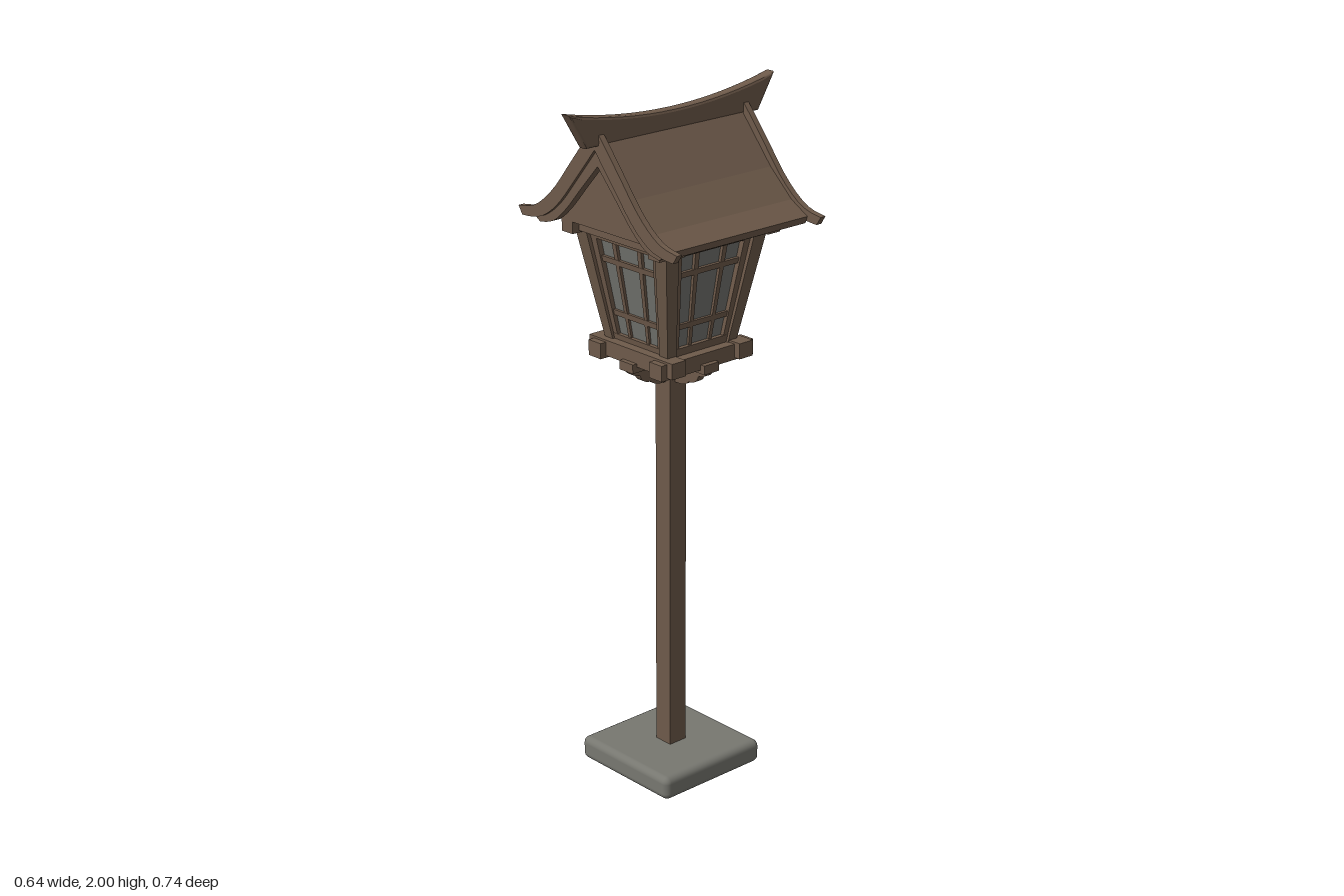
import * as THREE from 'three';
import { RoundedBoxGeometry } from 'three/addons/geometries/RoundedBoxGeometry.js';

export function createModel() {
  const root = new THREE.Group();
  root.name = 'postLantern';
  const wood = new THREE.MeshStandardMaterial({ color: 0x6e5a4a });
  wood.name = 'brown wood';
  const stone = new THREE.MeshStandardMaterial({ color: 0x777770 });
  stone.name = 'grey stone';
  const paper = new THREE.MeshStandardMaterial({ color: 0x72736e });
  paper.name = 'grey pane';

  const add = (name, geo, mat = wood, parent = root) => {
    const m = new THREE.Mesh(geo, mat);
    m.name = name;
    parent.add(m);
    return m;
  };
  const box = (w, h, d, x, y, z) => new THREE.BoxGeometry(w, h, d).translate(x, y, z);
  const shapeOf = (pts) => new THREE.Shape(pts.map((p) => new THREE.Vector2(p[0], p[1])));
  const slab = (shape, z0, z1) =>
    new THREE.ExtrudeGeometry(shape, { depth: z1 - z0, bevelEnabled: false }).translate(0, 0, z0);
  // smooth right half of a roof line, sampled from a few points
  const curve = (pts) => new THREE.SplineCurve(pts.map((p) => new THREE.Vector2(p[0], p[1])))
    .getPoints(16).map((p) => [p.x, p.y]);
  // symmetric band between an upper and a lower right-half line, both from the apex out
  const band = (upper, lower) => {
    const flip = (a) => a.map(([x, y]) => [-x, y]);
    return shapeOf([
      ...flip(upper).reverse(), ...upper.slice(1),
      ...lower.slice().reverse(), ...flip(lower).slice(1),
    ]);
  };

  // base and post
  add('baseStone', new RoundedBoxGeometry(0.37, 0.07, 0.37, 4, 0.02).translate(0, 0.035, 0), stone);
  add('post', box(0.06, 1.22, 0.06, 0, 0.66, 0));

  // lantern body narrows towards the bottom
  const Y0 = 1.305, Y1 = 1.625;
  const taper = (geo) => {
    const p = geo.attributes.position;
    for (let i = 0; i < p.count; i++) {
      const s = 0.69 + (0.31 * (p.getY(i) - Y0)) / (Y1 - Y0);
      p.setX(i, p.getX(i) * s);
      p.setZ(i, p.getZ(i) * s);
    }
    geo.computeVertexNormals();
    return geo;
  };
  const midY = (Y0 + Y1) / 2, H = Y1 - Y0;

  // corbel under the floor, stepped in scallops
  const corbel = new THREE.Shape();
  corbel.moveTo(0.02, 1.19);
  corbel.lineTo(0.05, 1.19);
  corbel.quadraticCurveTo(0.075, 1.192, 0.085, 1.205);
  corbel.lineTo(0.095, 1.205);
  corbel.quadraticCurveTo(0.12, 1.21, 0.125, 1.232);
  corbel.lineTo(0.135, 1.232);
  corbel.quadraticCurveTo(0.155, 1.235, 0.16, 1.255);
  corbel.lineTo(0.02, 1.255);

  for (let k = 0; k < 4; k++) {
    const side = new THREE.Group();
    side.name = 'lanternSide' + (k + 1);
    side.rotation.y = (k * Math.PI) / 2;
    root.add(side);
    const part = (name, geo, mat) => add(name, geo, mat, side);
    part('cornerPost', taper(box(0.046, H, 0.046, 0.162, midY, 0.162)));
    part('pane', taper(box(0.28, H, 0.006, 0, midY, 0.153)), paper);
    for (const s of [-1, 1]) {
      part('windowStile', taper(box(0.025, H, 0.024, s * 0.129, midY, 0.161)));
      part('mullion', taper(box(0.016, H, 0.014, s * 0.052, midY, 0.159)));
    }
    for (const y of [1.39, 1.545]) {
      part('glazingBar', taper(box(0.25, 0.016, 0.014, 0, y, 0.16)));
    }
    part('windowSill', taper(box(0.28, 0.024, 0.026, 0, 1.315, 0.161)));
    part('windowHeader', taper(box(0.28, 0.024, 0.026, 0, 1.615, 0.161)));
    // crossing frame beams; alternate sides sit slightly lower
    const drop = k % 2 ? 0.006 : 0;
    part('lowerBeam', box(0.34, 0.045, 0.05, 0, 1.288 - drop, 0.125));
    part('upperBeam', box(0.44, 0.036, 0.045, 0, 1.64 - drop, 0.175));
    // bracket arm and its corbel
    part('bracketArm', box(0.055, 0.026, 0.15, 0, 1.262, 0.09));
    const c = slab(corbel, -0.012, 0.012);
    c.rotateY(-Math.PI / 2);
    part('corbel', c);
  }
  add('floor', box(0.24, 0.025, 0.24, 0, 1.287, 0));
  add('ceiling', box(0.36, 0.03, 0.36, 0, 1.635, 0));

  // roof boards
  const roofTop = [[0, 1.925], [0.128, 1.775], [0.21, 1.7], [0.272, 1.665]];
  const roofLow = [[0, 1.895], [0.118, 1.755], [0.2, 1.68], [0.265, 1.645]];
  for (const s of [-1, 1]) {
    for (let i = 0; i < 3; i++) {
      const a = roofTop[i], b = roofTop[i + 1], c = roofLow[i + 1], d = roofLow[i];
      add('roofBoard', slab(shapeOf([a, b, c, d].map(([x, y]) => [s * x, y])), -0.25, 0.25));
    }
    add('eavePurlin', box(0.024, 0.02, 0.48, s * 0.24, 1.65, 0));
  }

  // gable walls and curved barge boards on both ends
  const edge = curve([[0, 1.95], [0.03, 1.918], [0.095, 1.84], [0.175, 1.745], [0.25, 1.688], [0.32, 1.672]]);
  const under = curve([[0, 1.888], [0.08, 1.793], [0.15, 1.713], [0.21, 1.668], [0.26, 1.652], [0.305, 1.648]]);
  const inner = curve([[0, 1.842], [0.07, 1.766], [0.13, 1.7], [0.185, 1.655], [0.24, 1.64]]);
  const behind = curve([[0, 1.9], [0.08, 1.805], [0.15, 1.725], [0.21, 1.68], [0.265, 1.655]]);
  const gable = shapeOf([[0, 1.9], [0.118, 1.76], [0.2, 1.685], [0.22, 1.65],
    [-0.22, 1.65], [-0.2, 1.685], [-0.118, 1.76]]);
  for (const s of [-1, 1]) {
    const layer = (name, shape, z0, z1) =>
      add(name, s > 0 ? slab(shape, z0, z1) : slab(shape, -z1, -z0));
    layer('bargeBoard', band(edge, under), 0.252, 0.27);
    layer('innerBargeBoard', band(behind, inner), 0.236, 0.26);
    layer('gableWall', gable, 0.2, 0.22);
  }

  // ridge beam with upswept ends
  const ridge = new THREE.Shape();
  ridge.moveTo(-0.31, 1.9);
  ridge.lineTo(0.31, 1.9);
  ridge.lineTo(0.37, 2.0);
  ridge.quadraticCurveTo(0, 1.915, -0.37, 2.0);
  const ridgeGeo = new THREE.ExtrudeGeometry(ridge, {
    depth: 0.02, bevelThickness: 0.008, bevelSize: 0.008, bevelOffset: -0.008,
    bevelSegments: 2, curveSegments: 16,
  });
  add('ridgeBeam', ridgeGeo.translate(0, 0, -0.01).rotateY(Math.PI / 2));

  return root;
}
